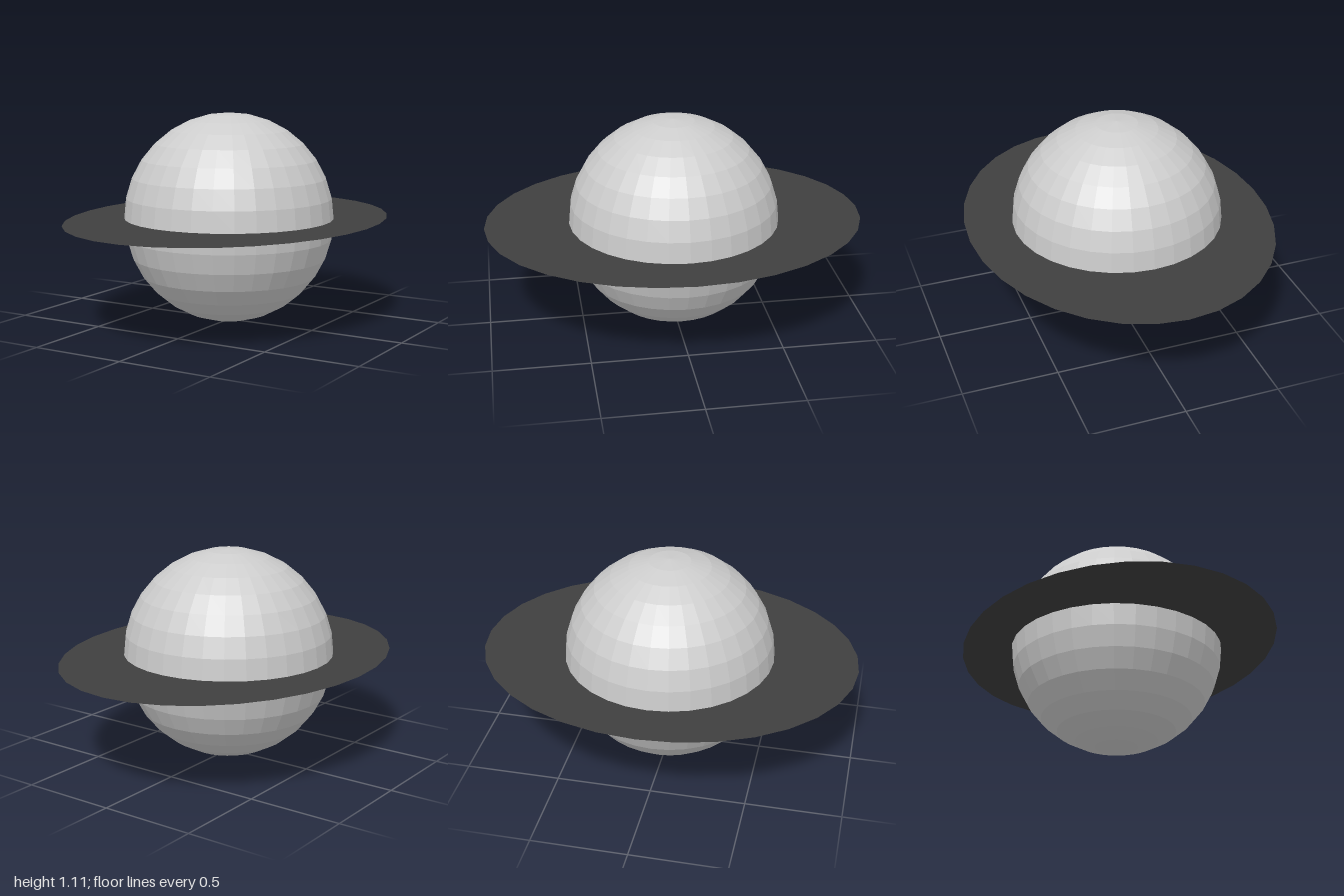
import * as THREE from 'three';

const RADIUS = 0.556;
const SEGMENTS = 32;

export function createModel() {
  const group = new THREE.Group();
  group.name = 'ringedPlanet';

  const planetGrey = new THREE.MeshStandardMaterial({ color: 0xcccccc, flatShading: true });
  planetGrey.name = 'planetGrey';
  const ringCharcoal = new THREE.MeshStandardMaterial({ color: 0x3f3f3f, side: THREE.DoubleSide });
  ringCharcoal.name = 'ringCharcoal';

  // faceted globe
  const planet = new THREE.Mesh(new THREE.SphereGeometry(RADIUS, SEGMENTS, SEGMENTS / 2), planetGrey);
  planet.name = 'planet';
  planet.position.y = RADIUS;

  // flat oval ring around the equator, inner edge meeting the globe
  const ringShape = new THREE.RingGeometry(0.5, 1, SEGMENTS);
  ringShape.rotateX(-Math.PI / 2);
  const p = ringShape.attributes.position;
  for (let i = 0; i < p.count; i++) {
    const outer = Math.hypot(p.getX(i), p.getZ(i)) > 0.75;
    if (outer) p.setX(i, p.getX(i) * 0.8);
  }
  const ring = new THREE.Mesh(ringShape, ringCharcoal);
  ring.name = 'ring';
  ring.position.y = RADIUS;

  group.add(planet, ring);
  return group;
}
